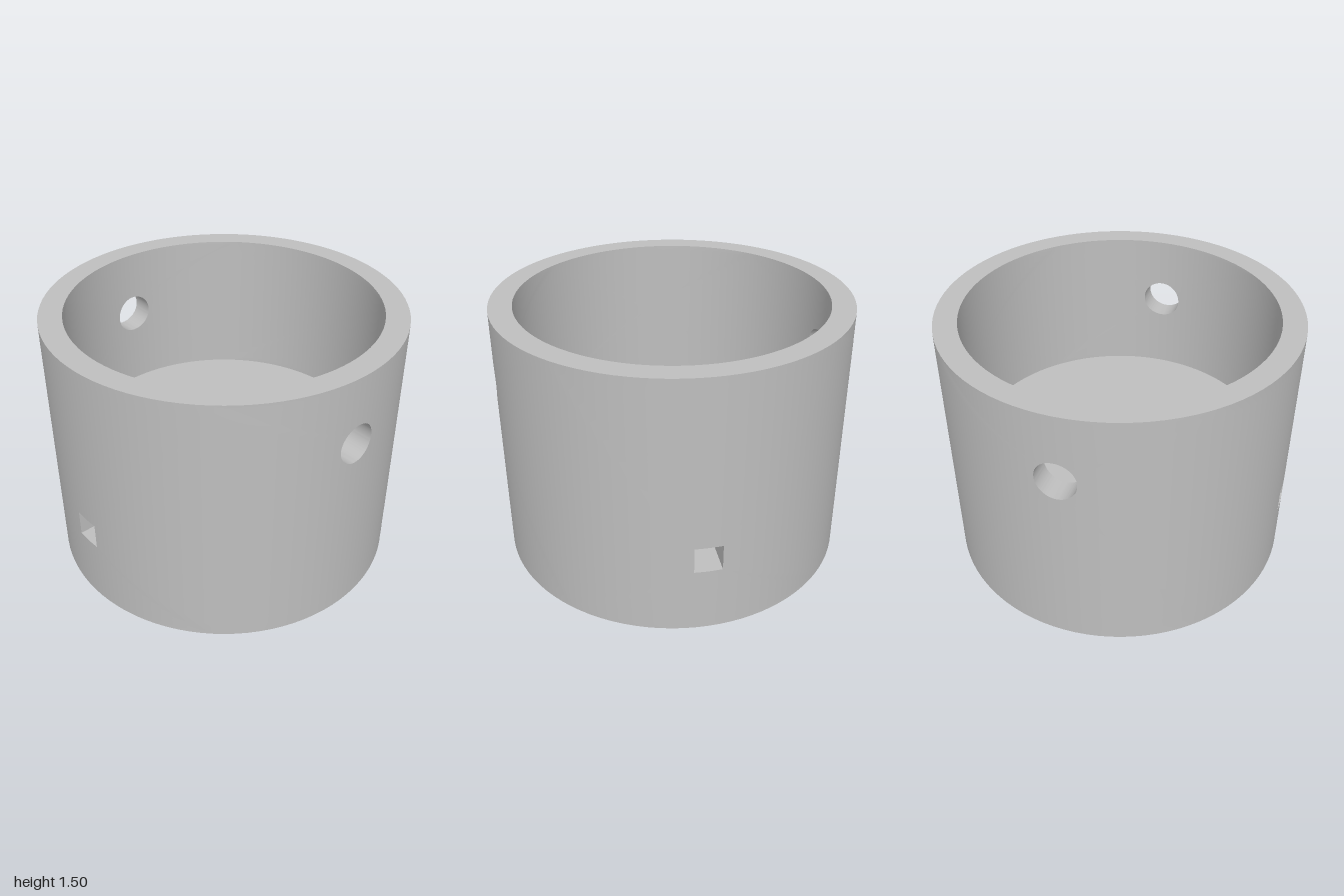
import * as THREE from 'three';
import { mergeGeometries, toCreasedNormals } from 'three/addons/utils/BufferGeometryUtils.js';

const AROUND = 96, STEPS = 16;
const HEIGHT = 1.5, FLOOR = 0.64, CONE_TOP = 0.535;
const R_OUT = 1, R_CUP = 0.87, R_CONE = 0.763, R_CONE_TOP = 0.338, R_BORE = 0.285;

// Cross holes: round ones front and back, square ones left and right
const ROUND = { y: 1.107, half: 0.113, round: true };
const SQUARE = { y: 0.455, half: 0.076, round: false };
const NONE = (y) => ({ y, half: 0, round: false });

// Point on the edge of a [-1, 1] square, counter-clockwise
function squarePoint(i) {
  const side = AROUND / 4, n = i % AROUND;
  const s = (n % side) / side * 2 - 1;
  return [[s, -1], [1, s], [-s, 1], [-1, -s]][Math.floor(n / side)];
}

function holePoint(hole, i) {
  const [u, v] = squarePoint(i);
  const k = hole.half / (hole.round ? Math.hypot(u, v) : 1);
  return [u * k, hole.y + v * k];
}

// Grid of quads through point(i, k); i runs around, k across
function sheet(point, steps, flip) {
  const pos = [];
  for (let k = 0; k < steps; k++) {
    for (let i = 0; i < AROUND; i++) {
      const a = point(i, k), b = point(i, k + 1), c = point(i + 1, k + 1), d = point(i + 1, k);
      const tris = flip ? [a, c, b, a, d, c] : [a, b, c, a, c, d];
      tris.forEach((p) => pos.push(...p));
    }
  }
  const g = new THREE.BufferGeometry();
  g.setAttribute('position', new THREE.Float32BufferAttribute(pos, 3));
  return g;
}

const onWall = (wall, theta, y) => {
  const r = wall.radius(y);
  return [r * Math.sin(theta), y, r * Math.cos(theta)];
};

// Round wall made of four quarter panels, each spreading from its hole to its border
function wallGeometry(wall) {
  const panels = [0, 1, 2, 3].map((q) => {
    const hole = wall.holes[q % 2] || NONE((wall.y0 + wall.y1) / 2);
    return sheet((i, k) => {
      const [u, v] = squarePoint(i);
      const [hx, hy] = holePoint(hole, i);
      const t = k / STEPS;
      const theta = THREE.MathUtils.lerp(Math.asin(hx / wall.radius(hy)), u * Math.PI / 4, t);
      const y = THREE.MathUtils.lerp(hy, v < 0 ? wall.y0 + (v + 1) / 2 * (wall.y1 - wall.y0)
        : wall.y1 - (1 - v) / 2 * (wall.y1 - wall.y0), t);
      return onWall(wall, theta, y);
    }, STEPS, wall.inward).rotateY(q * Math.PI / 2);
  });
  return toCreasedNormals(mergeGeometries(panels), Math.PI / 4);
}

// Lining of a cross hole between two walls
function tunnelGeometry(hole, outer, inner) {
  const g = sheet((i, k) => {
    const [x, y] = holePoint(hole, i);
    const wall = k ? inner : outer;
    return onWall(wall, Math.asin(x / wall.radius(y)), y);
  }, 1, true);
  return toCreasedNormals(g, Math.PI / 4);
}

export function createModel() {
  const model = new THREE.Group();
  const grey = new THREE.MeshStandardMaterial({ color: 0xbebebe });
  grey.name = 'plain grey';

  const add = (name, geometry, turn = 0) => {
    const mesh = new THREE.Mesh(geometry, grey);
    mesh.name = name;
    mesh.rotation.y = turn;
    model.add(mesh);
  };
  const ring = (name, inner, outer, y, up) => add(name,
    new THREE.RingGeometry(inner, outer, AROUND).rotateX(up ? -Math.PI / 2 : Math.PI / 2).translate(0, y, 0));

  // Curved walls
  const outer = { radius: () => R_OUT, y0: 0, y1: HEIGHT, holes: [ROUND, SQUARE], inward: false };
  const cup = { radius: () => R_CUP, y0: FLOOR, y1: HEIGHT, holes: [ROUND, null], inward: true };
  const cone = {
    radius: (y) => THREE.MathUtils.lerp(R_CONE, R_CONE_TOP, y / CONE_TOP),
    y0: 0, y1: CONE_TOP, holes: [null, SQUARE], inward: true,
  };
  const bore = { radius: () => R_BORE, y0: CONE_TOP, y1: FLOOR, holes: [null, null], inward: true };
  add('outerWall', wallGeometry(outer));
  add('cupWall', wallGeometry(cup));
  add('lowerCone', wallGeometry(cone));
  add('centreBore', wallGeometry(bore));

  // Flat rings
  ring('topRim', R_CUP, R_OUT, HEIGHT, true);
  ring('cupFloor', R_BORE, R_CUP, FLOOR, true);
  ring('coneCeiling', R_BORE, R_CONE_TOP, CONE_TOP, false);
  ring('bottomRim', R_CONE, R_OUT, 0, false);

  // Hole linings on opposite sides
  for (const turn of [0, Math.PI]) {
    add('roundHole', tunnelGeometry(ROUND, outer, cup), turn);
    add('squareHole', tunnelGeometry(SQUARE, outer, cone), turn + Math.PI / 2);
  }
  return model;
}
